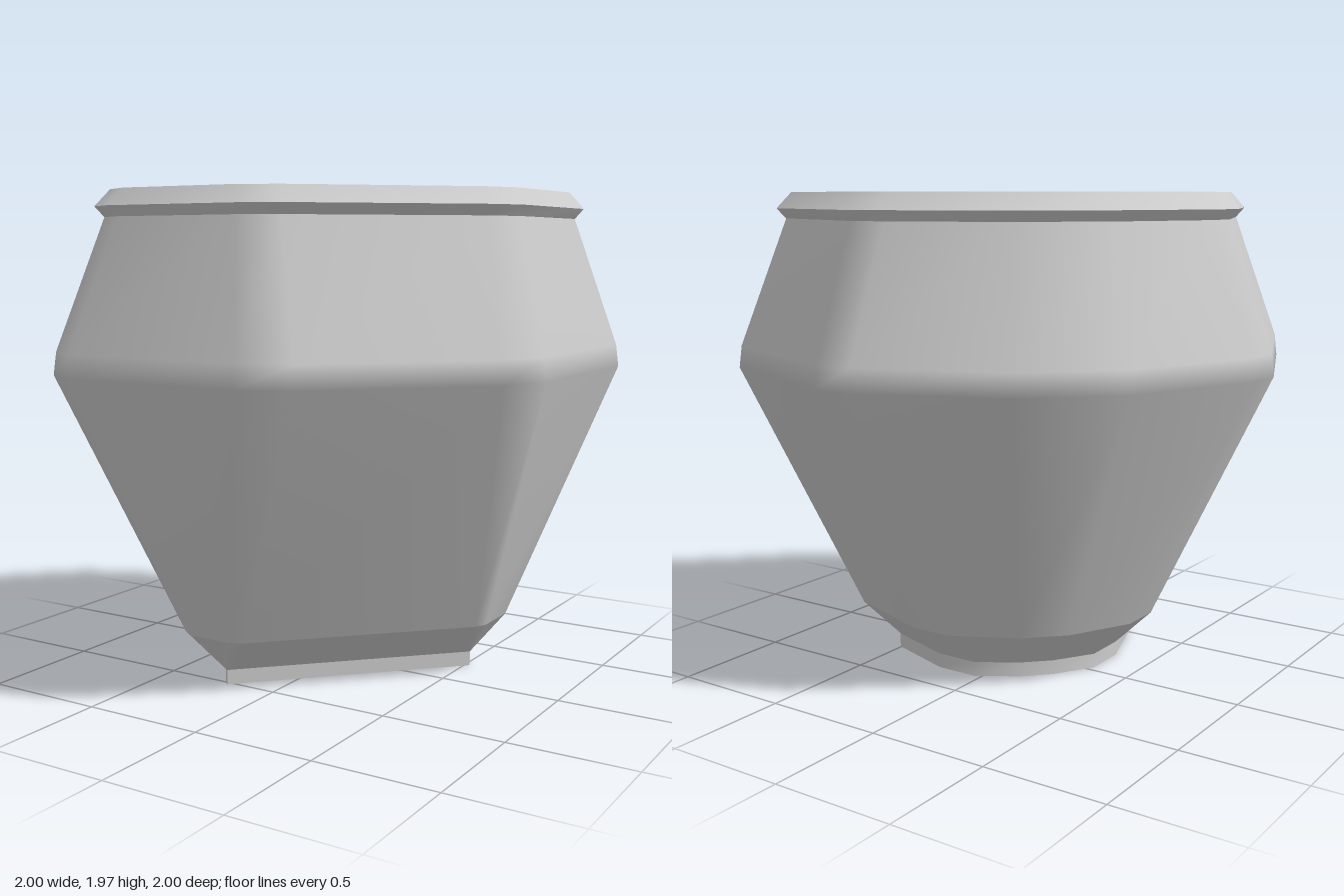
import * as THREE from 'three';
import { toCreasedNormals } from 'three/addons/utils/BufferGeometryUtils.js';

// Outlines are mirrored across the x = z diagonal, so each lists [x, z] for one half.
const outline = (half) => [...half, ...half.map(([x, z]) => [z, x]).reverse()];
const mix = (a, b, t) => a.map(([x, z], i) => [x + (b[i][0] - x) * t, z + (b[i][1] - z) * t]);
const scale = (a, s, c = 0) => a.map(([x, z]) => [c + (x - c) * s, c + (z - c) * s]);

const FOOT = outline([[-0.13, -0.23], [0.03, -0.33], [0.21, -0.33], [0.5, -0.23], [0.52, -0.21], [0.52, -0.208], [0.515, -0.203]]);
const BELLY = outline([[-0.48, -0.77], [0.08, -1], [0.24, -1], [0.92, -0.72], [1, -0.58], [1, 0.19], [0.92, 0.38]]);
const RIM = outline([[-0.38, -0.65], [0.07, -0.835], [0.235, -0.835], [0.8, -0.6], [0.87, -0.48], [0.87, 0.13], [0.8, 0.27]]);
const FLOOR = outline([[-0.21, -0.5], [0.07, -0.62], [0.23, -0.62], [0.64, -0.45], [0.72, -0.3], [0.72, -0.09], [0.65, 0.11]]);

// Skin a stack of [outline, y] rings
function loft(rings) {
  const n = rings[0][0].length;
  const pos = [];
  const idx = [];
  for (const [pts, y] of rings) for (const [x, z] of pts) pos.push(x, y, z);
  for (let r = 0; r < rings.length - 1; r++) {
    for (let i = 0; i < n; i++) {
      const a = r * n + i;
      const b = r * n + ((i + 1) % n);
      idx.push(b, a, a + n, b, a + n, b + n);
    }
  }
  const g = new THREE.BufferGeometry();
  g.setAttribute('position', new THREE.Float32BufferAttribute(pos, 3));
  g.setIndex(idx);
  g.computeVertexNormals();
  return g;
}

export function createModel() {
  const group = new THREE.Group();
  const material = new THREE.MeshStandardMaterial({ color: 0xcccccc });
  const add = (name, geometry) => {
    const mesh = new THREE.Mesh(geometry, material);
    mesh.name = name;
    group.add(mesh);
  };

  const shoulderFoot = mix(FOOT, BELLY, 0.245);
  const neck = mix(FLOOR, RIM, 0.83);
  const mouth = mix(FLOOR, RIM, 0.42);
  const recess = scale(FOOT, 0.84, 0.08);

  // Foot ring with a recessed underside
  add('foot', toCreasedNormals(loft([
    [scale(FOOT, 0, 0.08), 0.05], [recess, 0.05], [recess, 0], [FOOT, 0], [FOOT, 0.06],
  ]), 0.6));
  // Flare from the foot to the body
  add('lowerFlare', loft([[FOOT, 0.06], [shoulderFoot, 0.22]]));
  // Smooth body with a narrow belly band
  add('body', loft([[shoulderFoot, 0.22], [BELLY, 1.26], [scale(BELLY, 0.99), 1.35], [neck, 1.86]]));
  // Bevelled lip
  add('lip', toCreasedNormals(loft([
    [neck, 1.86], [RIM, 1.9], [mix(FLOOR, RIM, 0.72), 1.965], [mouth, 1.94],
  ]), 0.55));
  // Inner wall and the surface inside
  add('innerWall', loft([[mouth, 1.94], [FLOOR, 1.6]]));
  add('innerFloor', loft([[FLOOR, 1.6], [scale(FLOOR, 0, 0.06), 1.6]]));
  return group;
}
